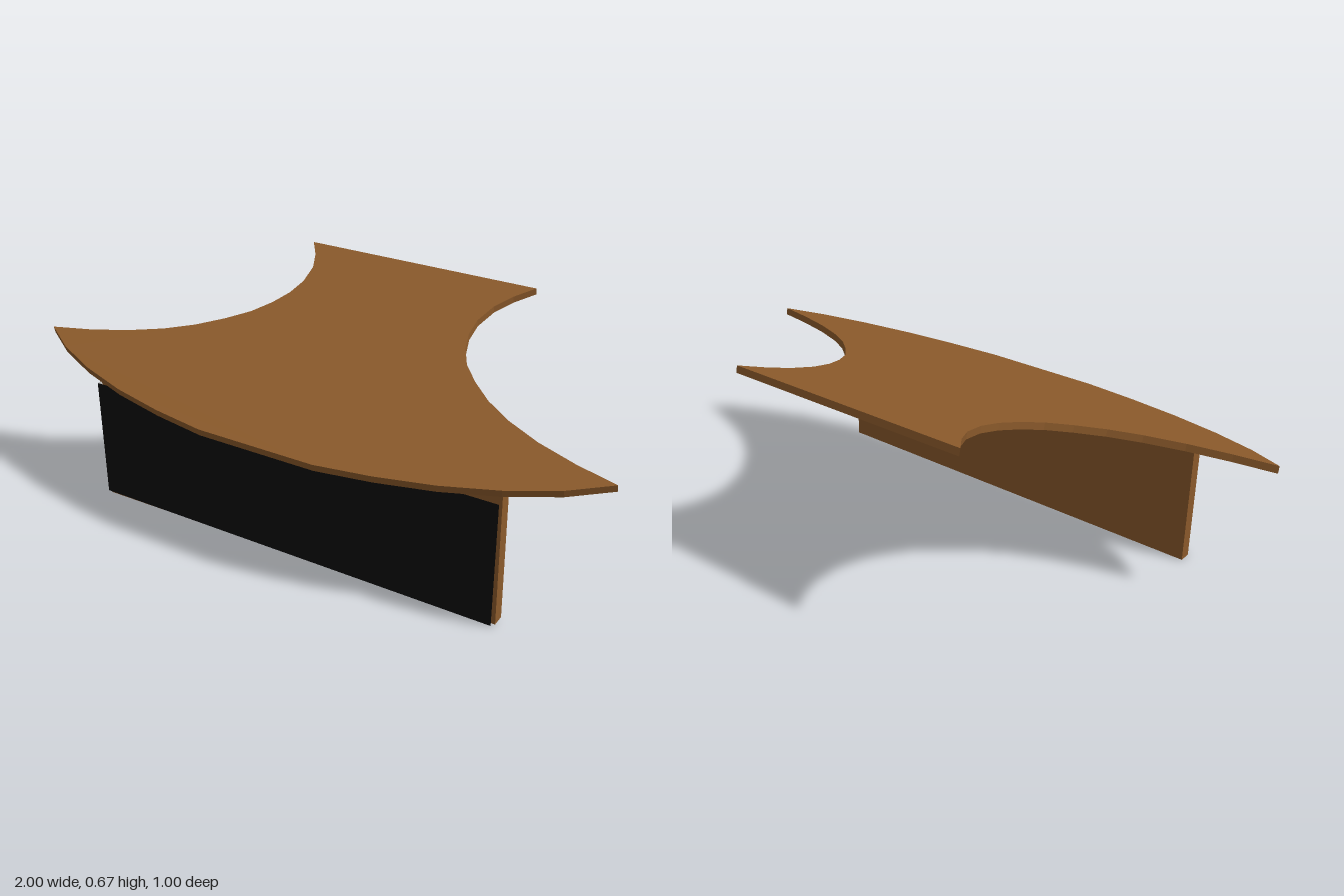
import * as THREE from 'three';

export function createModel() {
  const group = new THREE.Group();
  const wood = new THREE.MeshStandardMaterial({ color: 0x8b5a2b });
  wood.name = 'brown wood';
  const black = new THREE.MeshStandardMaterial({ color: 0x0d0d0d });
  black.name = 'black panel';
  const pale = new THREE.MeshStandardMaterial({ color: 0xcccccc });
  pale.name = 'pale grey edge';

  const add = (name, geometry, material, x, y, z) => {
    const mesh = new THREE.Mesh(geometry, material);
    mesh.name = name;
    mesh.position.set(x, y, z);
    group.add(mesh);
    return mesh;
  };

  // Tilted top: half outline (x, z) from the front centre to the back corner, mirrored
  const tilt = Math.atan(0.238);
  const thickness = 0.023;
  const half = [
    [0.2, 0.495], [0.38, 0.471], [0.56, 0.435], [0.73, 0.385], [0.88, 0.323], [1, 0.25],
    [0.87, 0.218], [0.74, 0.175], [0.625, 0.122], [0.535, 0.065], [0.46, 0], [0.4, -0.065],
    [0.36, -0.135], [0.336, -0.205], [0.329, -0.28], [0.345, -0.365], [0.38, -0.435], [0.43, -0.503],
  ];
  const outline = [...half, ...half.map(([x, z]) => [-x, z]).reverse()];
  const shape = new THREE.Shape(outline.map(([x, z]) => new THREE.Vector2(x, -z / Math.cos(tilt))));
  const topGeometry = new THREE.ExtrudeGeometry(shape, { depth: thickness, bevelEnabled: false });
  topGeometry.translate(0, 0, -thickness / 2);
  topGeometry.rotateX(-Math.PI / 2 + tilt);
  add('deskTop', topGeometry, wood, 0, 0.541, 0);

  // Upright board, leaning very slightly sideways
  const board = add('supportBoard', new THREE.BoxGeometry(1.42, 0.435, 0.04), wood, 0.023, 0.226, 0.36);
  board.rotation.z = 0.009;

  // Dark front panel with an open right end
  add('frontPanel', new THREE.PlaneGeometry(1.41, 0.402), black, 0.025, 0.222, 0.4);
  const end = add('panelEnd', new THREE.PlaneGeometry(0.02, 0.402), pale, -0.68, 0.222, 0.39);
  end.rotation.y = Math.PI / 2;

  return group;
}
